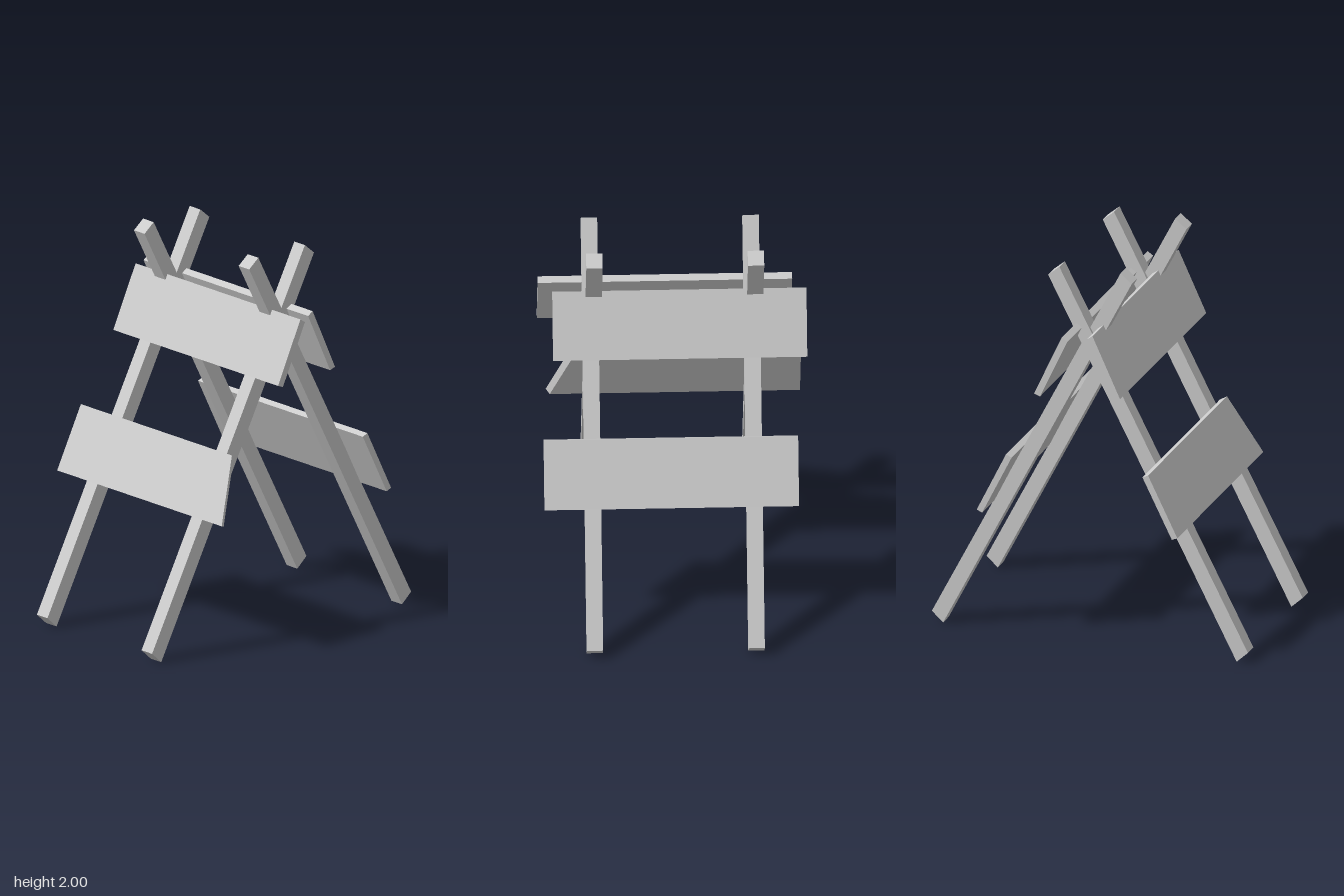
import * as THREE from 'three';

const material = new THREE.MeshStandardMaterial({ color: 0xcccccc, flatShading: true });

// Extrude a side profile along z; side = -1 mirrors it across x.
function plank(name, profile, side, zBack, zFront) {
  const shape = new THREE.Shape(profile.map(([x, y]) => new THREE.Vector2(side * x, y)));
  const geometry = new THREE.ExtrudeGeometry(shape, { depth: zFront - zBack, bevelEnabled: false });
  geometry.translate(0, 0, zBack);
  const mesh = new THREE.Mesh(geometry, material);
  mesh.name = name;
  return mesh;
}

// Saw the front end of a board at an angle, from zLow at xLow to zHigh at xHigh.
function cutFrontEnd(mesh, [xLow, zLow], [xHigh, zHigh]) {
  const pos = mesh.geometry.attributes.position;
  for (let i = 0; i < pos.count; i++) {
    if (pos.getZ(i) < 0) continue;
    const t = (pos.getX(i) - xLow) / (xHigh - xLow);
    pos.setZ(i, THREE.MathUtils.lerp(zLow, zHigh, t));
  }
  mesh.geometry.computeVertexNormals();
}

export function createModel() {
  const model = new THREE.Group();
  model.name = 'trestleBarricade';

  // Side profiles for the +x slope
  const leg = [[-0.22, 1.95], [0.785, 0], [0.845, 0.055], [-0.16, 2]];
  const upper = [[0.04, 1.69], [0.185, 1.378], [0.217, 1.39], [0.07, 1.71]];
  const lower = [[0.355, 1.008], [0.512, 0.692], [0.541, 0.705], [0.385, 1.022]];

  // Crossed legs, the two slopes slightly offset in depth
  for (const [side, label] of [[1, 'left'], [-1, 'right']]) {
    const shift = side * 0.008;
    for (const [z, end] of [[0.403, 'Front'], [-0.408, 'Back']]) {
      model.add(plank(`${label}${end}Leg`, leg, side, z + shift - 0.041, z + shift + 0.041));
    }
  }

  // Cross boards
  model.add(plank('leftUpperBoard', upper, 1, -0.673, 0.602));
  model.add(plank('rightUpperBoard', upper, -1, -0.605, 0.672));
  model.add(plank('leftLowerBoard', lower, 1, -0.622, 0.655));

  // Board with one end sawn at an angle
  const cutBoard = plank('rightLowerBoard', lower, -1, -0.658, 0.615);
  cutFrontEnd(cutBoard, [-0.541, 0.617], [-0.355, 0.492]);
  model.add(cutBoard);

  return model;
}
